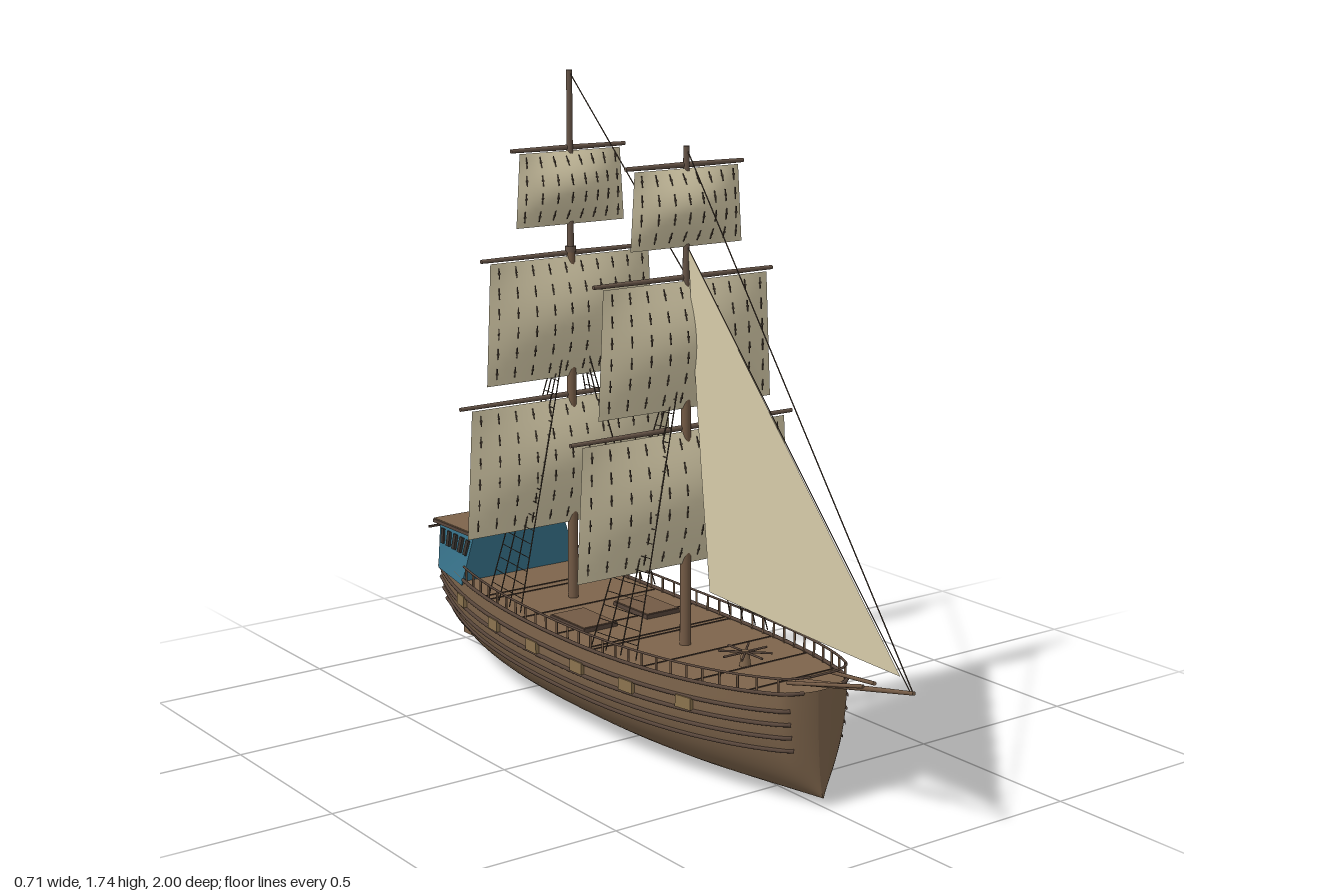
import * as THREE from 'three';
import { mergeGeometries } from 'three/addons/utils/BufferGeometryUtils.js';

const V = (x, y, z) => new THREE.Vector3(x, y, z);
const mat = (name, color, side = THREE.FrontSide) => {
  const m = new THREE.MeshStandardMaterial({ color, side });
  m.name = name;
  return m;
};

// Hull lines: sheer, keel, half-beam at the deck, half-breadth at any height
const STERN = -0.94, BOW = 0.68, NOSE = 0.64, CABIN = -0.69;
const sheer = z => 0.28 + 0.05 * (z + 0.12) ** 2;
const keel = z => 0.005 + 0.042 * (z + 0.05) ** 2;
function beam(z) {
  if (z < -0.1) return 0.237 * (1 - 0.48 * ((-0.1 - z) / 0.84) ** 2.8);
  const round = z > NOSE ? Math.sqrt(1 - ((z - NOSE) / 0.0415) ** 2) : 1;
  return 0.237 * round * Math.sqrt(1 - ((z + 0.1) / 0.825) ** 2);
}
function breadth(z, y) {
  const end = Math.min(1, Math.abs((z + 0.1) / 0.8)) ** 4;
  const h = (sheer(z) - keel(z)) * (0.75 + 0.25 * end);
  const q = Math.max(0, 1 - (y - keel(z)) / h);
  return beam(z) * Math.sqrt(Math.max(0, 1 - q * q)) ** (1 + 0.3 * end);
}
const station = (u, aft = STERN, fore = BOW) => aft + (fore - aft) * Math.sin(u * Math.PI / 2);
function section(z, v) {
  const y = keel(z) + (sheer(z) - keel(z)) * (1 - Math.cos(Math.abs(v) * Math.PI / 2));
  return V(Math.sign(v) * breadth(z, y), y, z);
}

// Smooth grid surface from fn(u, v)
function surface(fn, nu, nv) {
  const pos = [], idx = [];
  for (let i = 0; i <= nu; i++) for (let j = 0; j <= nv; j++) pos.push(...fn(i / nu, j / nv).toArray());
  for (let i = 0; i < nu; i++) for (let j = 0; j < nv; j++) {
    const a = i * (nv + 1) + j, b = a + nv + 1;
    idx.push(a, b, a + 1, b, b + 1, a + 1);
  }
  const g = new THREE.BufferGeometry();
  g.setAttribute('position', new THREE.Float32BufferAttribute(pos, 3));
  g.setIndex(idx);
  g.computeVertexNormals();
  return g;
}

// Round bar between two points
function rod(a, b, r0, r1 = r0, sides = 8) {
  const d = b.clone().sub(a);
  const g = new THREE.CylinderGeometry(r1, r0, d.length(), sides);
  g.applyQuaternion(new THREE.Quaternion().setFromUnitVectors(V(0, 1, 0), d.normalize()));
  return g.translate((a.x + b.x) / 2, (a.y + b.y) / 2, (a.z + b.z) / 2);
}
const box = (w, h, d, x, y, z) => new THREE.BoxGeometry(w, h, d).translate(x, y, z);

// Half-width of the cabin: splayed at its foot, narrower aft
function cabinHalf(y, z) {
  const up = (y - 0.28) / 0.14, aft = (CABIN - z) / 0.2;
  const lerp = THREE.MathUtils.lerp;
  return lerp(lerp(0.2, 0.157, aft), lerp(0.156, 0.147, aft), up);
}

export function createModel() {
  const ship = new THREE.Group();
  ship.name = 'sailingShip';
  const wood = mat('hullWood', 0x7d644b, THREE.DoubleSide);
  const spar = mat('mastWood', 0x735a45);
  const yardWood = mat('yardWood', 0x665447);
  const dark = mat('darkWood', 0x57453a);
  const tan = mat('portWood', 0x8b734e);
  const teal = mat('tealPaint', 0x37728a);
  const glass = mat('darkWindow', 0x37332f);
  const canvas = mat('canvas', 0xd6cba9, THREE.DoubleSide);
  const rope = mat('rope', 0x4c3f34);
  const add = (name, geo, m) => {
    const mesh = new THREE.Mesh(Array.isArray(geo) ? mergeGeometries(geo) : geo, m);
    mesh.name = name;
    ship.add(mesh);
  };

  // Hull shell, end caps and deck
  add('hull', surface((u, v) => section(station(u), 1 - 2 * v), 56, 32), wood);
  for (const [name, z] of [['transom', STERN], ['stem', BOW]]) {
    const pts = [];
    for (let j = 0; j <= 32; j++) {
      const p = section(z, j / 16 - 1);
      pts.push(new THREE.Vector2(p.x, p.y));
    }
    add(name, new THREE.ShapeGeometry(new THREE.Shape(pts)).rotateY(z < 0 ? Math.PI : 0).translate(0, 0, z), wood);
  }
  add('deck', surface((u, v) => {
    const z = station(u);
    return V((2 * v - 1) * beam(z), sheer(z) - 0.006, z);
  }, 56, 2), wood);
  add('deckSeams', [-0.55, -0.52, -0.34, -0.17, -0.02, 0.0, 0.2, 0.38, 0.54].map(z =>
    box(beam(z) * 1.96, 0.003, 0.003, 0, sheer(z) - 0.005, z)), dark);

  // Wales, rails, posts and gun ports on both sides
  const wales = [], rails = [], posts = [], ports = [];
  for (const s of [-1, 1]) {
    const along = (drop, out, aft, fore) => new THREE.CatmullRomCurve3(Array.from({ length: 41 }, (_, i) => {
      const z = station(i / 40, aft, fore), y = sheer(z) - drop;
      return V(s * (breadth(z, Math.min(y, sheer(z))) + out), y, z);
    }));
    for (const d of [0.045, 0.08, 0.115, 0.15])
      wales.push(new THREE.TubeGeometry(along(d, 0.001, STERN, 0.655), 60, 0.0055, 8));
    wales.push(new THREE.TubeGeometry(along(0.001, 0, CABIN, 0.67), 60, 0.005, 8));
    rails.push(new THREE.TubeGeometry(along(-0.038, -0.003, CABIN, 0.676), 70, 0.0032, 8));
    for (let z = CABIN + 0.02; z < 0.66; z += 0.052) {
      const x = s * (beam(z) - 0.003);
      posts.push(rod(V(x, sheer(z) - 0.006, z), V(x, sheer(z) + 0.038, z), 0.0032));
    }
    for (const z of [0.37, 0.163, -0.045, -0.26, -0.47, -0.69]) {
      const y = sheer(z) - 0.06;
      const turn = Math.atan2(beam(z + 0.02) - beam(z - 0.02), 0.04);
      ports.push(new THREE.BoxGeometry(0.016, 0.032, 0.052).rotateY(s * turn).translate(s * (breadth(z, y) + 0.002), y, z));
    }
  }
  rails.push(rod(V(-0.045, 0.35, 0.676), V(0.045, 0.35, 0.676), 0.0032));
  add('wales', wales, dark);
  add('rails', rails, dark);
  add('railPosts', posts, spar);
  add('gunPorts', ports, tan);

  // Stern cabin with windows along the sides and the back
  const cabin = box(2, 0.14, 0.2, 0, 0.35, CABIN - 0.1);
  const p = cabin.attributes.position;
  for (let i = 0; i < p.count; i++) p.setX(i, p.getX(i) * cabinHalf(p.getY(i), p.getZ(i)));
  cabin.computeVertexNormals();
  add('cabin', cabin, teal);
  add('cabinRoof', box(0.332, 0.01, 0.222, 0, 0.422, -0.788), dark);
  add('roofTop', box(0.328, 0.004, 0.218, 0, 0.428, -0.788), wood);
  add('sternBar', box(0.36, 0.006, 0.006, 0, 0.405, -0.9), dark);
  const panes = [];
  for (const s of [-1, 1]) for (let i = 0; i < 5; i++) {
    const z = -0.715 - i * 0.038;
    const tilt = Math.atan((cabinHalf(0.28, z) - cabinHalf(0.42, z)) / 0.14);
    panes.push(new THREE.BoxGeometry(0.008, 0.044, 0.017).rotateZ(s * tilt).rotateY(s * 0.1)
      .translate(s * cabinHalf(0.38, z), 0.38, z));
  }
  for (let i = -2; i <= 2; i++) panes.push(box(0.03, 0.04, 0.008, i * 0.055, 0.38, -0.89));
  add('cabinWindows', panes, glass);
  add('sternPanel', box(0.23, 0.05, 0.012, 0, 0.325, -0.935), teal);
  add('sternPlatform', box(0.23, 0.008, 0.05, 0, 0.347, -0.917), wood);

  // Rudder
  add('rudderPost', box(0.014, 0.31, 0.014, 0, 0.185, -0.945), teal);
  add('rudder', box(0.014, 0.145, 0.06, 0, 0.0975, -0.97), wood);

  // Deck fittings: hatches and capstan
  for (const x of [-0.105, 0.105]) {
    add('hatchCoaming', box(0.11, 0.014, 0.16, x, 0.279, -0.21), dark);
    add('hatchCover', box(0.104, 0.016, 0.154, x, 0.28, -0.21), spar);
  }
  add('capstan', rod(V(0, 0.28, 0.365), V(0, 0.327, 0.365), 0.016, 0.01, 16), wood);
  add('capstanBars', [0, 1, 2, 3].map(i => {
    const a = i * Math.PI / 4, c = 0.07 * Math.cos(a), d = 0.07 * Math.sin(a);
    return rod(V(-c, 0.323, 0.365 - d), V(c, 0.323, 0.365 + d), 0.003);
  }), dark);

  // Bowsprit with side braces
  add('bowsprit', rod(V(0, 0.302, 0.575), V(0, 0.39, 0.998), 0.009, 0.005, 12), spar);
  add('bowBraces', [-1, 1].map(s => rod(V(s * 0.07, 0.325, 0.62), V(s * 0.018, 0.367, 0.84), 0.005)), spar);

  // Masts, square sails and shrouds: yard height, yard half, sail top half, foot half, foot height, columns, rows
  const sails = [
    ['LowerSail', 0.862, 0.357, 0.325, 0.345, 0.5, 12, 6],
    ['TopSail', 1.255, 0.284, 0.26, 0.276, 0.915, 10, 6],
    ['UpperSail', 1.542, 0.185, 0.163, 0.176, 1.335, 8, 4],
  ];
  for (const [mast, mz, low, high] of [['fore', 0.11, 1.16, 1.59], ['main', -0.415, 1.27, 1.75]]) {
    add(mast + 'Mast', rod(V(0, 0.27, mz), V(0, low, mz), 0.015, 0.012, 16), spar);
    add(mast + 'Topmast', rod(V(0, low - 0.08, mz), V(0, high, mz), 0.0095, 0.008, 16), yardWood);
    add(mast + 'MastCaps', [rod(V(0, low - 0.012, mz), V(0, low + 0.004, mz), 0.015, 0.015, 12),
      rod(V(0, 1.09, mz), V(0, 1.105, mz), 0.018, 0.018, 12)], yardWood);

    for (const [name, yy, yardHalf, topHalf, footHalf, foot, cols, rows] of sails) {
      add(mast + 'Yard', [-1, 1].map(s => rod(V(0, yy, mz - 0.005), V(s * yardHalf, yy, mz - 0.005), 0.0075, 0.0055, 12)), yardWood);
      const H = yy - 0.008 - foot;
      const cloth = (u, v) => V((2 * u - 1) * (footHalf + (topHalf - footHalf) * v), foot + H * v,
        mz + 0.003 + 0.043 * Math.sin(Math.PI * v) * Math.sin(Math.PI * u));
      add(mast + name, surface(cloth, 20, 16), canvas);
      // Reef points on the forward face
      const ties = [];
      for (let i = 0; i < cols; i++) for (let j = 0; j < rows; j++) {
        const u = (i + 0.5) / cols, v = (j + 0.6) / (rows + 0.1);
        const q = cloth(u, v), q2 = cloth(u, v + 0.01);
        const lean = Math.atan2(q2.z - q.z, q2.y - q.y);
        ties.push(new THREE.BoxGeometry(0.0026, 0.03, 0.002).rotateX(lean).translate(q.x, q.y, q.z + 0.003));
        ties.push(new THREE.BoxGeometry(0.006, 0.005, 0.002).rotateX(lean).translate(q.x, q.y, q.z + 0.0035));
      }
      add(mast + name + 'ReefPoints', ties, rope);
    }

    const lines = [];
    for (const s of [-1, 1]) {
      const shroud = (k, t) => {
        const z = mz - 0.0125 + (k - 0.5) * 0.18;
        return V(s * (beam(z) - 0.006), sheer(z) + 0.01, z).lerp(V(s * 0.01, 1.1, mz + (k - 0.5) * 0.02), t);
      };
      for (let i = 0; i < 4; i++) lines.push(rod(shroud(i / 3, 0), shroud(i / 3, 1), 0.0017));
      for (let i = 1; i <= 18; i++) lines.push(rod(shroud(0, i * 0.045), shroud(1, i * 0.045), 0.0011));
    }
    add(mast + 'Shrouds', lines, rope);
  }

  // Stays and the triangular headsail
  add('stays', [
    rod(V(0, 1.585, 0.11), V(0, 0.39, 0.995), 0.0016),
    rod(V(0, 1.745, -0.415), V(0, 1.26, 0.11), 0.0016),
    rod(V(0, 1.335, 0.115), V(0, 0.39, 0.985), 0.0014),
  ], rope);
  const jib = new THREE.Shape();
  jib.moveTo(0.95, 0.418);
  jib.lineTo(0.118, 1.33);
  jib.quadraticCurveTo(0.16, 0.87, 0.215, 0.445);
  jib.quadraticCurveTo(0.6, 0.425, 0.95, 0.418);
  add('headsail', new THREE.ShapeGeometry(jib).rotateY(-Math.PI / 2), canvas);

  return ship;
}
